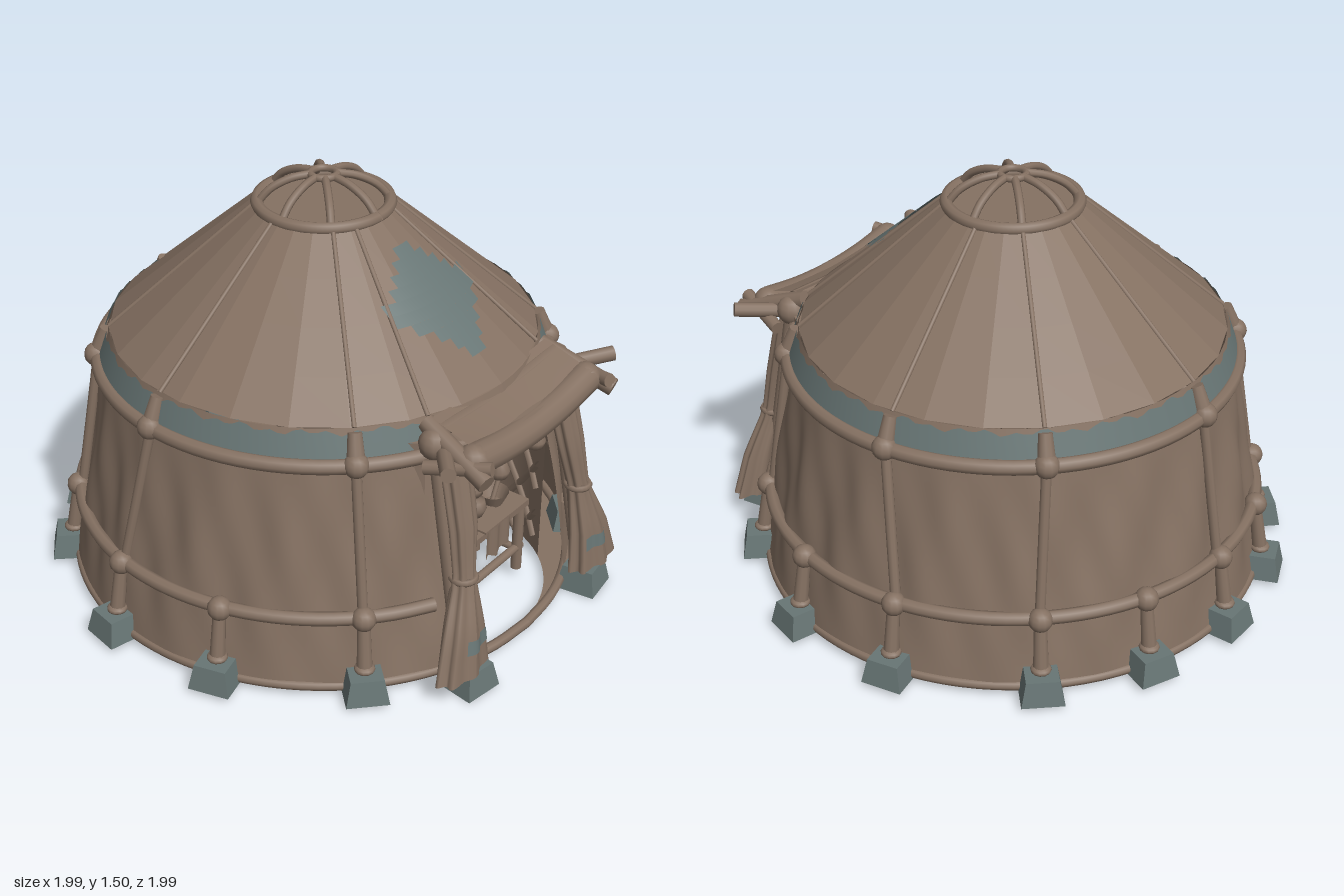
import * as THREE from 'three';

const hide = new THREE.MeshStandardMaterial({ color: 0x857162, side: THREE.DoubleSide });
hide.name = 'brown hide';
const slate = new THREE.MeshStandardMaterial({ color: 0x687675, side: THREE.DoubleSide });
slate.name = 'slate blue';

const V = (x, y, z) => new THREE.Vector3(x, y, z);
const rad = THREE.MathUtils.degToRad;
// Point at an angle (0 = doorway on +x), radius and height
const P = (deg, r, y) => V(r * Math.cos(rad(deg)), y, r * Math.sin(rad(deg)));

export function createModel() {
  const model = new THREE.Group();
  model.name = 'roundTent';

  const add = (name, geometry, material = hide, parent = model) => {
    const mesh = new THREE.Mesh(geometry, material);
    mesh.name = name;
    parent.add(mesh);
    return mesh;
  };
  // Grid surface bent by a rule of u and v
  const surface = (name, fn, n, m, material = hide, flat = false) => {
    let g = new THREE.PlaneGeometry(1, 1, n, m);
    const p = g.attributes.position;
    for (let i = 0; i < p.count; i++) {
      const q = fn(p.getX(i) + 0.5, p.getY(i) + 0.5);
      p.setXYZ(i, q.x, q.y, q.z);
    }
    if (flat) g = g.toNonIndexed();
    g.computeVertexNormals();
    return add(name, g, material);
  };
  const tube = (name, pts, r, n = 12, sides = 8) =>
    add(name, new THREE.TubeGeometry(new THREE.CatmullRomCurve3(pts), n, r, sides));
  const pole = (name, a, b, r0, r1 = r0) => {
    const d = b.clone().sub(a);
    const mesh = add(name, new THREE.CylinderGeometry(r1, r0, d.length(), 10));
    mesh.position.copy(a).addScaledVector(d, 0.5);
    mesh.quaternion.setFromUnitVectors(V(0, 1, 0), d.normalize());
    return mesh;
  };
  const ball = (name, at, r, sy = 1) => {
    const mesh = add(name, new THREE.SphereGeometry(r, 12, 8));
    mesh.position.copy(at);
    mesh.scale.y = sy;
  };
  const box = (name, w, h, d, x, y, z, material = hide) => {
    add(name, new THREE.BoxGeometry(w, h, d), material).position.set(x, y, z);
  };
  const arc = (name, from, to, r, y, thick) => {
    const pts = [];
    for (let i = 0; i <= 32; i++) pts.push(P(from + (to - from) * i / 32, r, y));
    tube(name, pts, thick, 96);
  };

  // Draped wall with soft folds, open at the doorway
  surface('wall', (u, v) => {
    const deg = 21 + 318 * u, a = rad(deg), y = 0.025 + 0.825 * v;
    const r = y < 0.3 ? 0.91 - 0.16 * (y - 0.025) : 0.866 - 0.175 * (y - 0.3);
    const fold = 0.012 * Math.sin(a * 17 + 5 * v) * Math.sin(Math.PI * v)
      + 0.008 * Math.sin(a * 31 - 9 * v) * v * (1 - v) * 2;
    return P(deg, r + fold, y);
  }, 180, 14);
  arc('baseRim', 0, 360, 0.9, 0.04, 0.018);
  arc('lowerRail', 27, 333, 0.88, 0.3, 0.024);
  arc('upperRail', 0, 360, 0.79, 0.83, 0.026);

  // Faceted roof, its skirt and painted band
  const roofR = y => 0.745 - (y - 0.945) * 0.505 / 0.44;
  surface('roof', (u, v) => P(360 * u, 0.745 - 0.505 * v, 0.945 + 0.44 * v), 24, 4, hide, true);
  surface('roofSkirt', (u, v) => P(360 * u, 0.785 - 0.04 * v, 0.83 + 0.115 * v), 64, 2);
  surface('roofBand', (u, v) => {
    const deg = 26 + 308 * u;
    const y = 0.855 + v * (0.08 + 0.007 * Math.sin(deg * 0.9) + 0.005 * Math.sin(deg * 0.37));
    return P(deg, 0.792 - (y - 0.83) * 0.35, y);
  }, 160, 2, slate);

  // Stepped diamond painted above the doorway
  [0.04, 0.07, 0.11, 0.17, 0.22, 0.22, 0.16, 0.12, 0.08, 0.04].forEach((half, i) => {
    surface('roofDiamond', (u, v) => {
      const y = 1.03 + 0.029 * (i + v), r = roofR(y) + 0.007;
      return P(THREE.MathUtils.radToDeg((2 * u - 1) * half / r), r, y);
    }, 12, 1, slate);
  });

  // Smoke-hole crown
  add('roofCap', new THREE.CircleGeometry(0.24, 32).rotateX(-Math.PI / 2)).position.y = 1.386;
  arc('crownRim', 0, 360, 0.226, 1.39, 0.022);
  arc('crownHub', 0, 360, 0.045, 1.487, 0.013);
  for (let i = 0; i < 8; i++) {
    const d = i * 45;
    tube('crownSpoke', [P(d, 0.225, 1.39), P(d, 0.18, 1.44), P(d, 0.11, 1.475), P(d, 0.045, 1.487)], 0.014);
  }

  // Upper poles with joints and roof seams: [lower angle, upper angle]
  [[180, 180], [227, 225], [259, 264], [317, 317], [43, 44], [102, 97], [136, 136]].forEach(([lo, hi]) => {
    pole('wallPole', P(lo, 0.875, 0.3), P(hi, 0.79, 0.83), 0.018);
    ball('upperJoint', P(hi, 0.795, 0.835), 0.043);
    pole('poleTip', P(hi, 0.79, 0.84), P(hi, 0.755, 0.935), 0.032, 0.024);
    pole('roofSeam', P(hi, 0.745, 0.945), P(hi, 0.235, 1.388), 0.008);
  });
  for (const d of [25, -25]) pole('roofSeam', P(d, 0.745, 0.945), P(d, 0.235, 1.388), 0.008);

  // Lower posts standing on tapered stone feet
  const footGeometry = new THREE.CylinderGeometry(0.08, 0.104, 0.09, 4).rotateY(Math.PI / 4).toNonIndexed();
  footGeometry.computeVertexNormals();
  const foot = (at, deg) => {
    const mesh = add('stoneFoot', footGeometry, slate);
    mesh.position.copy(at);
    mesh.rotation.y = -rad(deg);
  };
  for (const d of [180, 203, 227, 259, 286, 317, 43, 74, 102, 136, 157]) {
    foot(P(d, 0.925, 0.067), d);
    pole('lowerPost', P(d, 0.92, 0.1), P(d, 0.89, 0.3), 0.028, 0.022);
    ball('lowerJoint', P(d, 0.89, 0.3), 0.042);
    ball('postCollar', P(d, 0.918, 0.12), 0.036, 0.5);
  }

  // Floor with a round cut-out behind the doorway
  const cx = 0.4, cr = 0.48;
  const floor = new THREE.Shape().absarc(0, 0, 0.905, 0, Math.PI * 2);
  floor.holes.push(new THREE.Path().absarc(cx, 0, cr, 0, Math.PI * 2, true));
  add('floor', new THREE.ShapeGeometry(floor, 48).rotateX(-Math.PI / 2)).position.y = 0.03;

  // Curved inner wall with lattice
  const inner = (deg, y, r = cr) => V(cx - r * Math.cos(rad(deg)), y, r * Math.sin(rad(deg)));
  surface('innerWall', (u, v) => inner(-130 + 260 * u, 0.03 + 0.85 * v), 48, 1);
  add('innerCeiling', new THREE.CircleGeometry(cr, 40).rotateX(Math.PI / 2)).position.set(cx, 0.88, 0);
  for (let d = -210; d <= 130; d += 20) {
    for (const s of [1, -1]) {
      const pts = [];
      for (let i = 0; i <= 16; i++) {
        const a = d + 80 * i / 16;
        if (Math.abs(a) <= 128) pts.push(inner(s * a, 0.04 + 0.83 * i / 16, cr - 0.008));
      }
      if (pts.length > 2) tube('latticeStrip', pts, 0.013, 14, 5);
    }
  }

  // Doorway posts, beams and tied curtains on both sides
  for (const s of [1, -1]) {
    foot(V(0.905, 0.05, s * 0.36), s * 8);
    pole('doorPost', V(0.88, 0.08, s * 0.37), V(0.73, 0.88, s * 0.35), 0.03, 0.026);
    ball('doorJoint', V(0.73, 0.88, s * 0.35), 0.055);
    pole('awningBeam', V(0.68, 0.93, s * 0.33), V(0.95, 0.83, s * 0.38), 0.032);
    pole('crossBeam', V(0.73, 0.86, s * 0.31), V(0.88, 0.89, s * 0.49), 0.026);
    pole('braceBeam', V(0.74, 0.83, s * 0.42), V(0.95, 0.87, s * 0.35), 0.024);

    // Rows: height, x, z, half width, half depth
    const rows = [[0.09, 0.905, 0.405, 0.118, 0.055], [0.25, 0.89, 0.385, 0.085, 0.05],
      [0.42, 0.86, 0.35, 0.04, 0.035], [0.6, 0.83, 0.325, 0.055, 0.04], [0.8, 0.785, 0.31, 0.062, 0.04]];
    const drape = (y, a, grow) => {
      let i = 0;
      while (i < 3 && y > rows[i + 1][0]) i++;
      const t = (y - rows[i][0]) / (rows[i + 1][0] - rows[i][0]);
      const [, x, z, w, d] = rows[i].map((e, k) => e + (rows[i + 1][k] - e) * t);
      const f = 1 + 0.12 * Math.cos(7 * a);
      return V(x + (d * f + grow) * Math.cos(a), y, s * (z + (w * f + grow) * Math.sin(a)));
    };
    surface('curtain', (u, v) => drape(0.09 + 0.71 * v, u * Math.PI * 2, 0), 42, 14);
    surface('curtainPatch', (u, v) => drape(0.18 + 0.05 * v, -0.8 + u * 1.2, 0.005), 12, 2, slate);
    const tie = add('curtainTie', new THREE.TorusGeometry(0.04, 0.012, 6, 18).rotateX(Math.PI / 2));
    tie.position.set(0.86, 0.42, s * 0.35);
  }

  // Awning sheet ending in a sagging roll
  const sag = z => 0.035 * (1 - (z / 0.33) ** 2);
  surface('awning', (u, v) => {
    const z = (u - 0.5) * 0.66;
    return V(0.7 + 0.19 * v, 0.955 - 0.06 * v - sag(z) * (0.4 + 0.6 * v), z);
  }, 16, 4);
  tube('awningRoll', [-0.33, -0.17, 0, 0.17, 0.33].map(z => V(0.865, 0.86 - sag(z), z)), 0.056, 24, 12);
  for (const s of [1, -1]) ball('rollEnd', V(0.865, 0.86, s * 0.33), 0.056);
  tube('doorLintel', [-0.33, 0, 0.33].map(z => V(0.735, 0.92 - sag(z) * 0.5, z)), 0.025);

  // Hanging gourds
  const gourd = [[0.001, 0], [0.03, 0.015], [0.038, 0.04], [0.025, 0.07], [0.009, 0.1], [0.006, 0.19]]
    .map(([r, y]) => new THREE.Vector2(r, y));
  for (const [z, y] of [[0.17, 0.59], [0.01, 0.58], [-0.21, 0.59]]) {
    add('hangingGourd', new THREE.LatheGeometry(gourd, 14)).position.set(0.76, y, z);
  }

  // Small table with cloth, jars and bowl
  box('tableTop', 0.22, 0.025, 0.38, 0.6, 0.315, -0.09);
  for (const z of [0.08, -0.25]) {
    for (const x of [0.51, 0.69]) pole('tableLeg', V(x, 0.04, z), V(x, 0.31, z), 0.02);
    pole('sideRail', V(0.5, 0.12, z), V(0.7, 0.12, z), 0.014);
  }
  for (const x of [0.51, 0.69]) pole('tableRail', V(x, 0.13, 0.09), V(x, 0.13, -0.27), 0.016);
  surface('tableCloth', (u, v) => V(0.715 + 0.006 * Math.sin(u * 14), 0.215 + 0.115 * v + 0.01 * Math.sin(u * 9) * (1 - v),
    -0.15 + 0.15 * u), 12, 3);
  box('clothTop', 0.23, 0.008, 0.15, 0.6, 0.331, -0.075);
  const jar = [[0.001, 0], [0.035, 0], [0.055, 0.045], [0.045, 0.085], [0.025, 0.1], [0.034, 0.125]]
    .map(([r, y]) => new THREE.Vector2(r, y));
  for (const [z, k] of [[0.03, 1], [-0.07, 0.75]]) {
    const mesh = add('jar', new THREE.LatheGeometry(jar, 18));
    mesh.position.set(0.62, 0.333, z);
    mesh.scale.setScalar(k);
  }
  add('bowl', new THREE.CylinderGeometry(0.058, 0.035, 0.05, 16, 1, true)).position.set(0.62, 0.353, -0.18);
  pole('bowlSpoon', V(0.62, 0.34, -0.18), V(0.62, 0.45, -0.23), 0.009);

  return model;
}
